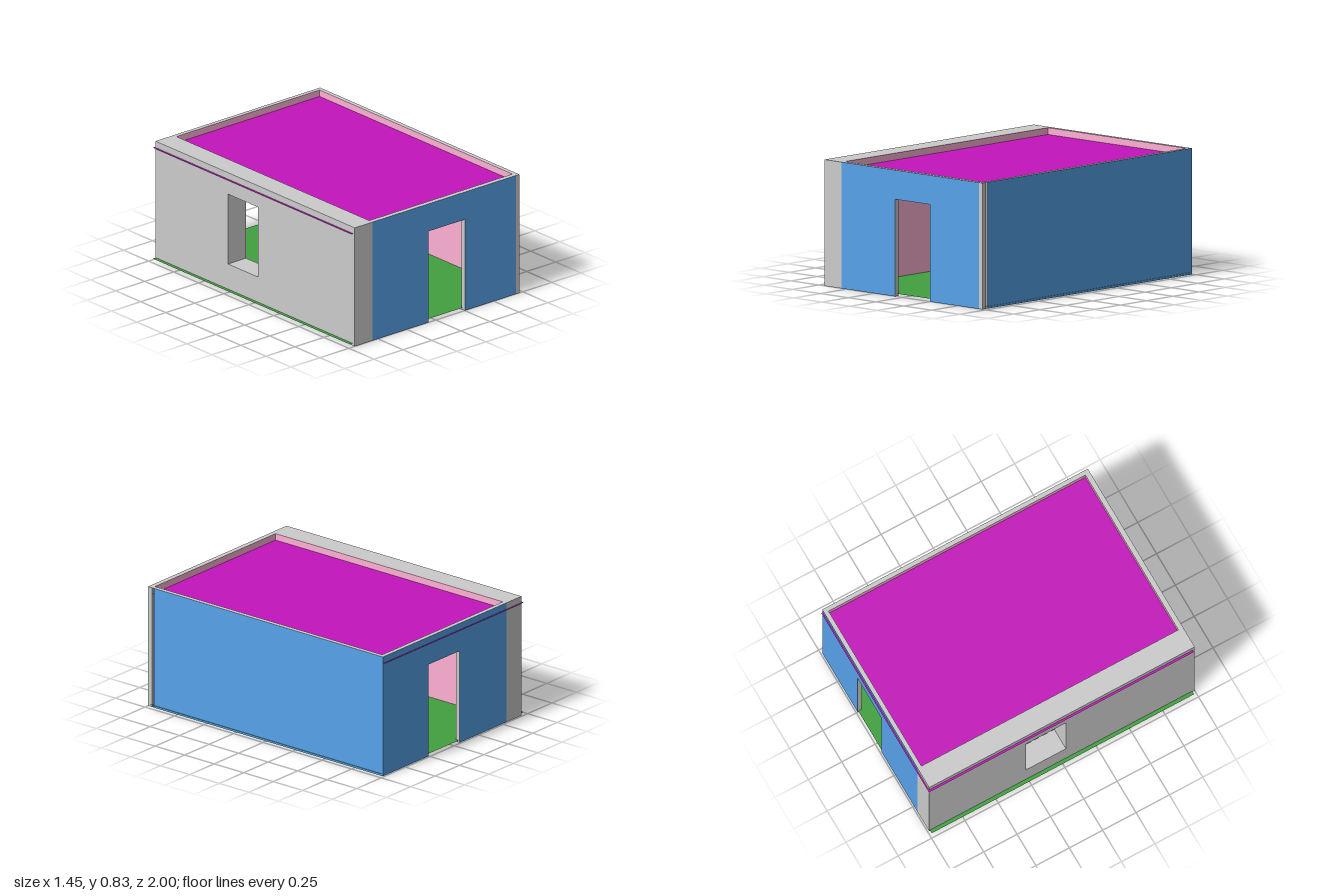
import * as THREE from 'three';

const mat = (color, side = THREE.FrontSide) =>
  new THREE.MeshStandardMaterial({ color, side });

const H = 0.835;                                  // wall height
const DOOR = { x0: -0.065, x1: 0.25, top: 0.642 };
const WIN = { z0: -0.265, z1: 0.035, y0: 0.192, y1: 0.684 };

export function createModel() {
  const model = new THREE.Group();
  const grey = mat(0xcccccc), blue = mat(0x56a2ea), pink = mat(0xffb0d4);

  // Box between two corners; faces overrides the grey material per side
  const sides = ['right', 'left', 'top', 'bottom', 'front', 'back'];
  function block(parent, name, [x0, x1], [y0, y1], [z0, z1], faces = {}) {
    const mesh = new THREE.Mesh(
      new THREE.BoxGeometry(x1 - x0, y1 - y0, z1 - z0),
      sides.map((s) => faces[s] || grey));
    mesh.position.set((x0 + x1) / 2, (y0 + y1) / 2, (z0 + z1) / 2);
    mesh.name = name;
    parent.add(mesh);
  }

  // Horizontal sheet with no thickness
  function sheet(parent, name, color, [x0, x1], y, [z0, z1]) {
    const geo = new THREE.PlaneGeometry(x1 - x0, z1 - z0).rotateX(-Math.PI / 2);
    const mesh = new THREE.Mesh(geo, mat(color, THREE.DoubleSide));
    mesh.position.set((x0 + x1) / 2, y, (z0 + z1) / 2);
    mesh.name = name;
    parent.add(mesh);
  }

  function group(name) {
    const g = new THREE.Group();
    g.name = name;
    model.add(g);
    return g;
  }

  // Front and back walls, each with the same doorway
  function doorWall(name, x1, z, faces) {
    const g = group(name);
    block(g, 'wallBesideDoorA', [-0.545, DOOR.x0], [0, H], z, { ...faces, right: grey });
    block(g, 'wallBesideDoorB', [DOOR.x1, x1], [0, H], z, faces);
    block(g, 'doorLintel', [DOOR.x0, DOOR.x1], [DOOR.top, H], z, { ...faces, right: grey });
  }
  doorWall('frontWall', 0.69, [0.965, 1], { front: blue, back: pink });
  doorWall('backWall', 0.72, [-0.99, -0.96], { front: pink, back: blue, right: blue });

  // Thick wall with the window opening
  const thick = group('windowWall'), tx = [-0.7, -0.545], inner = { right: pink };
  block(thick, 'wallBehindWindow', tx, [0, H], [-0.99, WIN.z0], inner);
  block(thick, 'wallBeforeWindow', tx, [0, H], [WIN.z1, 1], inner);
  block(thick, 'wallUnderWindow', tx, [0, WIN.y0], [WIN.z0, WIN.z1], inner);
  block(thick, 'wallOverWindow', tx, [WIN.y1, H], [WIN.z0, WIN.z1], inner);

  // Plain side wall, with a narrow open joint before the front corner
  const plain = group('plainWall');
  block(plain, 'sidePanel', [0.69, 0.72], [0, H], [-0.96, 0.95], { right: blue, left: pink });
  block(plain, 'jointLining', [0.69, 0.694], [0, H], [0.95, 0.965], { right: pink, left: pink });
  block(plain, 'cornerPost', [0.69, 0.72], [0, H], [0.965, 1]);
  sheet(plain, 'jointTop', 0xcccccc, [0.694, 0.72], H, [0.95, 0.965]);
  sheet(plain, 'jointBottom', 0xcccccc, [0.694, 0.72], 0, [0.95, 0.965]);

  // Floor and roof sheets run through the walls and project slightly
  sheet(model, 'floor', 0x42a040, [-0.725, 0.725], 0.015, [-0.985, 0.98]);
  sheet(model, 'roof', 0xc314bb, [-0.715, 0.715], 0.79, [-1, 0.985]);
  return model;
}
